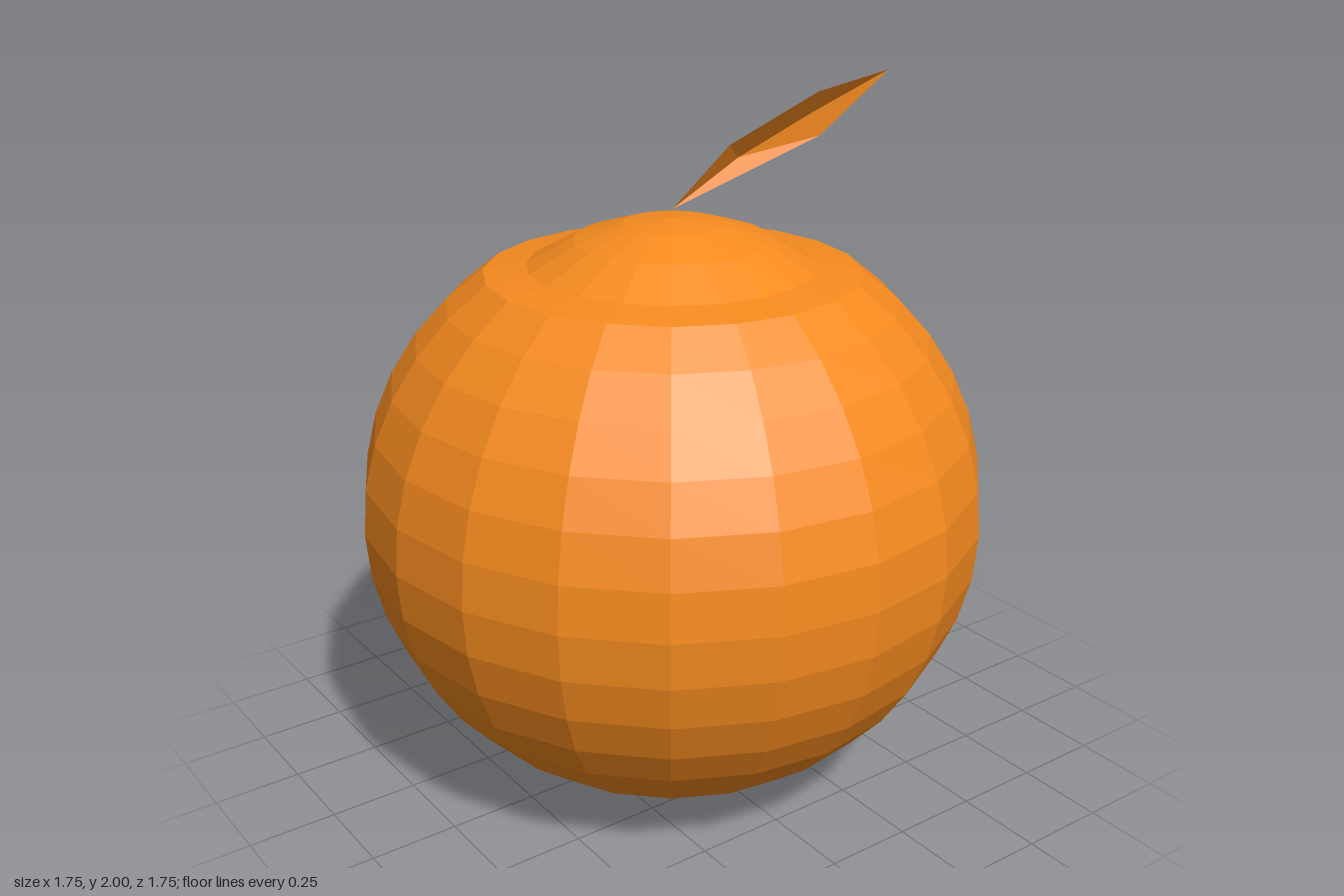
import * as THREE from 'three';

const RADIUS = 0.875, HALF_HEIGHT = 0.832, CENTRE_Y = 0.817;
const SIDES = 20, STEP = Math.PI / 20;

export function createModel() {
  const group = new THREE.Group();
  group.name = 'fruit';

  // Fruit: squashed sphere whose four polar rings are sunk into a stepped cap
  const capHeights = [0.817, 0.801, 0.759, 0.69];
  const profile = [];
  for (let i = 20; i >= 0; i--) {
    const fromPole = Math.min(i, 20 - i);
    const side = i < 10 ? 1 : -1;
    const height = fromPole < 4 ? capHeights[fromPole] : HALF_HEIGHT * Math.cos(fromPole * STEP);
    profile.push(new THREE.Vector2(RADIUS * Math.sin(fromPole * STEP), CENTRE_Y + side * height));
  }
  const body = new THREE.Mesh(
    new THREE.LatheGeometry(profile, SIDES),
    new THREE.MeshStandardMaterial({ color: 0xf68b1f, flatShading: true })
  );
  body.name = 'fruitBody';
  group.add(body);

  // Leaf: folded along a midrib that runs from the base to the tip
  const points = [
    0, 1.655, 0,          // 0 base
    0.13, 1.825, 0.08,    // 1 upper edge
    0.35, 1.957, 0.176,   // 2 upper edge
    0.56, 2, 0.215,       // 3 tip
    0.395, 1.828, 0.133,  // 4 lower edge
    0.185, 1.78, 0.047,   // 5 midrib
    0.375, 1.895, 0.13    // 6 midrib
  ];
  const leafGeometry = new THREE.BufferGeometry();
  leafGeometry.setAttribute('position', new THREE.Float32BufferAttribute(points, 3));
  leafGeometry.setIndex([0, 5, 1, 1, 5, 6, 1, 6, 2, 2, 6, 3, 0, 4, 5, 5, 4, 6, 6, 4, 3]);
  leafGeometry.computeVertexNormals();
  const leaf = new THREE.Mesh(
    leafGeometry,
    new THREE.MeshStandardMaterial({ color: 0xf68b1f, flatShading: true, side: THREE.DoubleSide })
  );
  leaf.name = 'leaf';
  group.add(leaf);

  return group;
}
